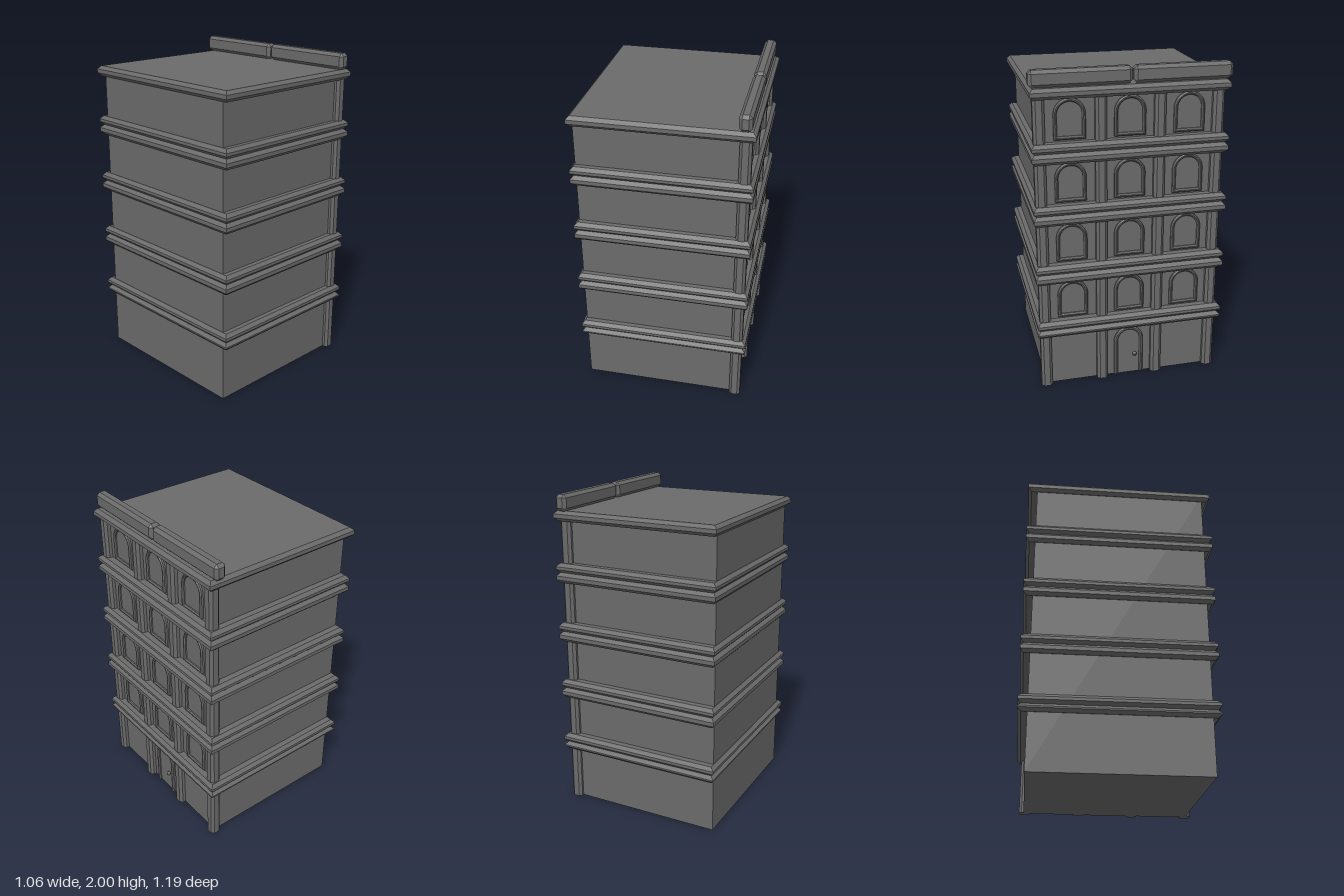
import * as THREE from 'three';
import { ConvexGeometry } from 'three/addons/geometries/ConvexGeometry.js';

const material = new THREE.MeshStandardMaterial({ color: 0x6b6b6b, flatShading: true });
const WALL_X = 0.47; // plane of the facade wall

// Insets per axis of the points that replace each box corner
const allEdges = (c) => [[0, c, c], [c, 0, c], [c, c, 0]];
const mitredEdges = (c) => [[0, c, 0], [c, 0, c]];
const uprightEdges = (c) => [[0, 0, c], [c, 0, 0]];

function addMesh(parent, name, geometry, x, y, z) {
  const mesh = new THREE.Mesh(geometry, material);
  mesh.name = name;
  mesh.position.set(x, y, z);
  parent.add(mesh);
}

// Box between two limits on each axis, its corners cut by the given insets
function addCutBox(parent, name, [x0, x1], [y0, y1], [z0, z1], insets) {
  const w = (x1 - x0) / 2, h = (y1 - y0) / 2, d = (z1 - z0) / 2;
  const points = [];
  for (const i of [-1, 1]) for (const j of [-1, 1]) for (const k of [-1, 1]) {
    for (const [a, b, c] of insets) {
      points.push(new THREE.Vector3(i * (w - a), j * (h - b), k * (d - c)));
    }
  }
  addMesh(parent, name, new ConvexGeometry(points), (x0 + x1) / 2, (y0 + y1) / 2, (z0 + z1) / 2);
}

// Round-headed outline: half width r, from y0 up to y1
function trace(path, r, y0, y1) {
  path.moveTo(-r, y0);
  path.lineTo(r, y0);
  path.lineTo(r, y1 - r);
  path.absarc(0, y1 - r, r, 0, Math.PI, false);
  path.closePath();
  return path;
}

// Bevelled extrusion turned to face +x, with its front at x = 0
function facing(shape, depth, bevel) {
  const g = new THREE.ExtrudeGeometry(shape, {
    depth, curveSegments: 12, bevelEnabled: bevel > 0, bevelSegments: 1,
    bevelSize: bevel, bevelThickness: bevel, bevelOffset: -bevel });
  return g.translate(0, 0, -depth - bevel).rotateY(Math.PI / 2);
}

function addWindow(parent, y, z) {
  const group = new THREE.Group();
  group.name = 'window';
  group.position.set(WALL_X, y, z);
  const frame = trace(new THREE.Shape(), 0.093, 0, 0.24);
  frame.holes.push(trace(new THREE.Path(), 0.073, 0.02, 0.22));
  addMesh(group, 'windowFrame', facing(frame, 0.024, 0.007), 0.018, 0, 0);
  addMesh(group, 'windowPane', facing(trace(new THREE.Shape(), 0.08, 0.01, 0.227), 0.01, 0), 0.003, 0, 0);
  parent.add(group);
}

function addDoor(parent, z) {
  const group = new THREE.Group();
  group.name = 'door';
  group.position.set(WALL_X, 0, z);
  // Frame is an arch open at the ground
  const R = 0.093, r = 0.07, spring = 0.247;
  const frame = new THREE.Shape();
  frame.moveTo(r, 0);
  frame.lineTo(R, 0);
  frame.lineTo(R, spring);
  frame.absarc(0, spring, R, 0, Math.PI, false);
  frame.lineTo(-R, 0);
  frame.lineTo(-r, 0);
  frame.lineTo(-r, spring);
  frame.absarc(0, spring, r, Math.PI, 0, true);
  frame.closePath();
  addMesh(group, 'doorFrame', facing(frame, 0.024, 0.007), 0.018, 0, 0);
  addMesh(group, 'doorPanel', facing(trace(new THREE.Shape(), 0.078, 0, 0.325), 0.01, 0), 0.003, 0, 0);
  addMesh(group, 'doorKnob', new THREE.SphereGeometry(0.014, 10, 8), 0.014, 0.138, -0.039);
  parent.add(group);
}

export function createModel() {
  const model = new THREE.Group();
  model.name = 'building';

  // Solid block of walls
  addMesh(model, 'walls', new THREE.BoxGeometry(WALL_X + 0.508, 1.88, 1.065),
    (WALL_X - 0.508) / 2, 0.94, 0.0125);

  // Heights where the floors meet
  const levels = [0, 0.395, 0.771, 1.148, 1.524, 1.901];
  const bays = [0.366, 0.012, -0.343];
  const pilasters = [0.543, 0.186, -0.164, -0.516];

  for (let i = 0; i < 5; i++) {
    const floor = new THREE.Group();
    floor.name = 'floor' + i;
    const y0 = levels[i], y1 = levels[i + 1];

    // Mitred ledges that overhang all four sides
    const ledge = (name, a, b) =>
      addCutBox(floor, name, [-0.53, 0.53], [a, b], [-0.577, 0.594], mitredEdges(0.02));
    if (i > 0) ledge('lowerLedge', y0, y0 + 0.058);
    ledge('upperLedge', y1 - (i > 0 ? 0.064 : 0.049), y1);

    // Pilasters with chamfered upright edges
    for (const z of pilasters) {
      addCutBox(floor, 'pilaster', [0.438, 0.507], [y0 + (i > 0 ? 0.02 : 0), y1 - 0.02],
        [z - 0.034, z + 0.034], uprightEdges(0.016));
    }

    if (i > 0) for (const z of bays) addWindow(floor, y0 + 0.07, z);
    else addDoor(floor, bays[1]);
    model.add(floor);
  }

  // Two parapet blocks along the facade edge of the roof
  addCutBox(model, 'frontParapet', [0.431, 0.505], [1.901, 2], [0.002, 0.596], allEdges(0.019));
  addCutBox(model, 'rearParapet', [0.431, 0.505], [1.901, 2], [-0.596, -0.005], allEdges(0.019));

  return model;
}
